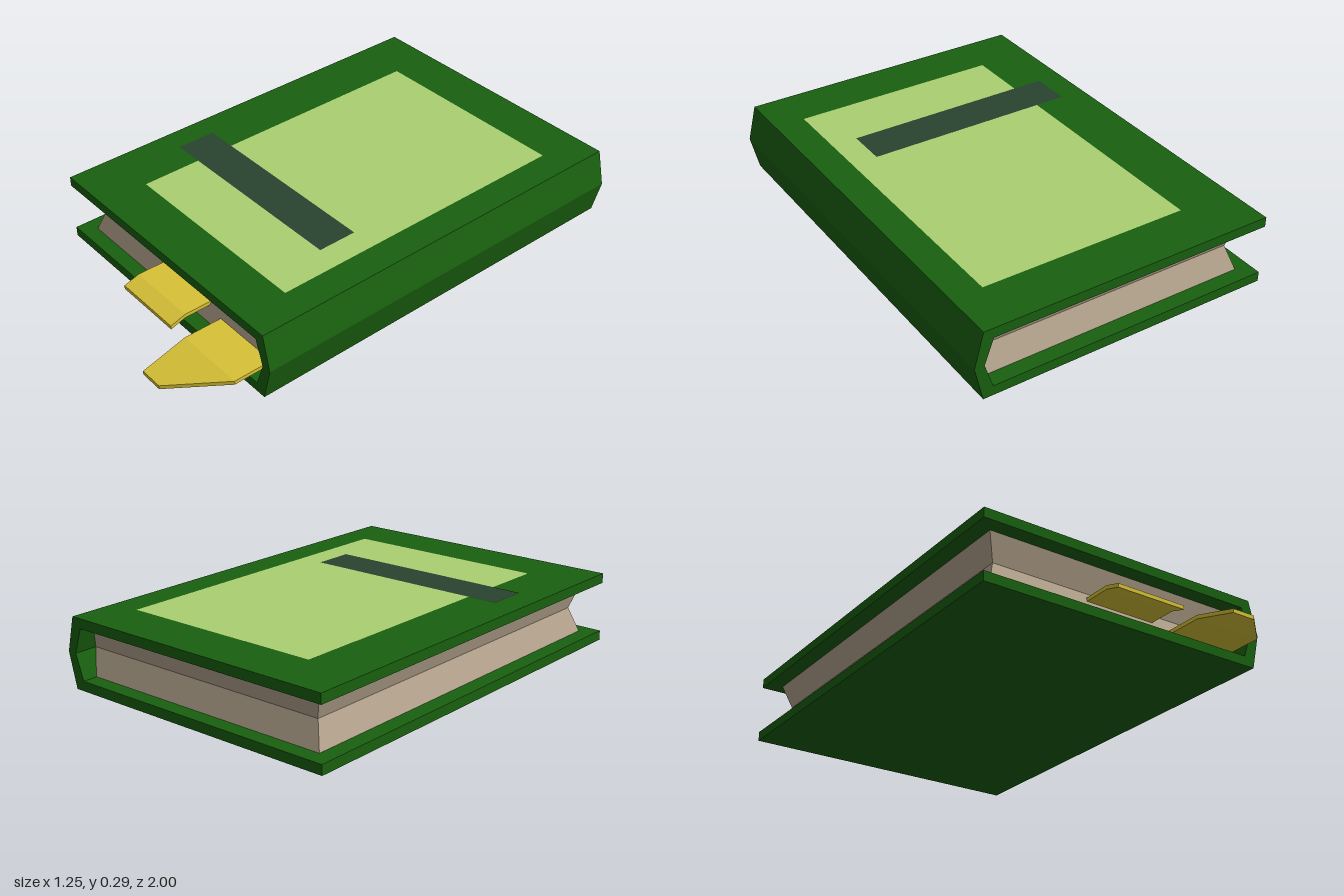
import * as THREE from 'three';

const mat = (color) => new THREE.MeshStandardMaterial({ color, flatShading: true });

function addMesh(group, name, geometry, material) {
  const mesh = new THREE.Mesh(geometry, material);
  mesh.name = name;
  group.add(mesh);
  return mesh;
}

// Thin bent strip: each row is [z, top y, left x, right x]
function stripGeometry(rows, thickness) {
  const n = rows.length - 1;
  const geo = new THREE.BoxGeometry(1, 1, 1, 1, 1, n);
  const p = geo.attributes.position;
  for (let i = 0; i < p.count; i++) {
    const [z, top, x0, x1] = rows[Math.round((p.getZ(i) + 0.5) * n)];
    p.setXYZ(i, p.getX(i) < 0 ? x0 : x1, p.getY(i) > 0 ? top : top - thickness, z);
  }
  geo.computeVertexNormals();
  return geo;
}

// Page block: box whose three free sides crease inward and whose spine side bulges outward
function pagesGeometry() {
  const geo = new THREE.BoxGeometry(1, 1, 1, 1, 2, 1);
  const p = geo.attributes.position;
  for (let i = 0; i < p.count; i++) {
    const mid = Math.abs(p.getY(i)) < 0.1 ? 0.035 : 0;
    const x = p.getX(i) < 0 ? -0.563 + mid : 0.55 + mid;
    const z = p.getZ(i) < 0 ? -0.94 + mid : 0.67 - mid;
    p.setXYZ(i, x, 0.1425 + p.getY(i) * 0.203, z);
  }
  geo.computeVertexNormals();
  return geo;
}

export function createModel() {
  const book = new THREE.Group();
  book.name = 'book';

  // Cover: both boards and the pointed spine as one extruded profile
  const profile = new THREE.Shape([
    [-0.627, 0], [0.59, 0], [0.625, 0.1425], [0.59, 0.285], [-0.627, 0.285],
    [-0.627, 0.245], [0.55, 0.245], [0.585, 0.1425], [0.55, 0.04], [-0.627, 0.04],
  ].map(([x, y]) => new THREE.Vector2(x, y)));
  const cover = new THREE.ExtrudeGeometry(profile, { depth: 1.73, bevelEnabled: false });
  cover.translate(0, 0, -1);
  addMesh(book, 'cover', cover, mat(0x19600f));

  addMesh(book, 'pages', pagesGeometry(), mat(0xb5a48e));

  // Flat panels on the front board
  const panel = (name, x0, x1, z0, z1, y, color) => {
    const geo = new THREE.PlaneGeometry(x1 - x0, z1 - z0).rotateX(-Math.PI / 2);
    addMesh(book, name, geo, mat(color)).position.set((x0 + x1) / 2, y, (z0 + z1) / 2);
  };
  panel('coverPanel', -0.395, 0.465, -0.8, 0.53, 0.2865, 0xa9cf70);
  panel('coverBand', -0.52, 0.36, 0.115, 0.28, 0.288, 0x28442f);

  // Bookmarks hanging out of the pages
  const yellow = mat(0xd8c236);
  addMesh(book, 'shortBookmark', stripGeometry([
    [0.6, 0.121, -0.13, 0.17], [0.76, 0.121, -0.13, 0.17], [0.825, 0.101, -0.13, 0.17],
  ], 0.016), yellow);
  addMesh(book, 'longBookmark', stripGeometry([
    [0.6, 0.088, 0.24, 0.535], [0.815, 0.088, 0.24, 0.535], [1.0, 0.036, 0.24, 0.338],
  ], 0.016), yellow);

  return book;
}
